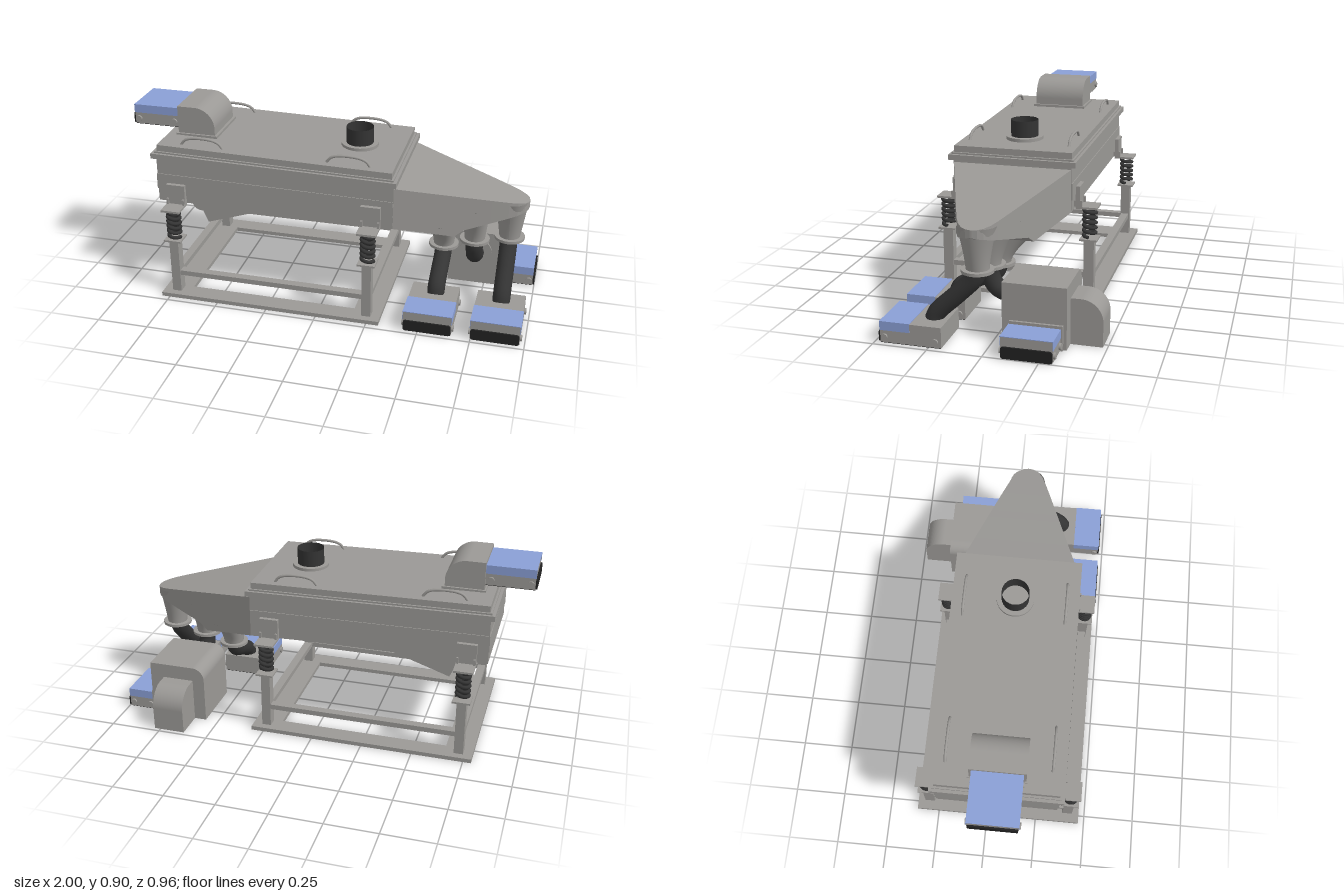
import * as THREE from 'three';

const mat = (name, color) => Object.assign(new THREE.MeshStandardMaterial({ color, side: THREE.DoubleSide }), { name });

export function createModel() {
  const steel = mat('steel grey', 0x9b9996);
  const rubber = mat('dark rubber', 0x343434);
  const black = mat('black', 0x222222);
  const blue = mat('blue cover', 0x8a9fd6);
  const root = new THREE.Group();
  root.name = 'vibratingScreen';

  const add = (parent, name, geo, m = steel, x = 0, y = 0, z = 0) => {
    const mesh = new THREE.Mesh(geo, m);
    mesh.name = name;
    mesh.position.set(x, y, z);
    parent.add(mesh);
    return mesh;
  };
  // Box given by its limits on each axis
  const box = (parent, name, x0, x1, y0, y1, z0, z1, m = steel) =>
    add(parent, name, new THREE.BoxGeometry(x1 - x0, y1 - y0, z1 - z0), m, (x0 + x1) / 2, (y0 + y1) / 2, (z0 + z1) / 2);
  const cyl = (parent, name, r, h, x, y, z, m = steel, open = false) =>
    add(parent, name, new THREE.CylinderGeometry(r, r, h, 32, 1, open), m, x, y, z);
  const tube = (parent, name, pts, r, m, seg = 40, sides = 16) =>
    add(parent, name, new THREE.TubeGeometry(
      new THREE.CatmullRomCurve3(pts.map(p => new THREE.Vector3(...p))), seg, r, sides), m);
  const group = (parent, name, x = 0, y = 0, z = 0) => {
    const g = new THREE.Group();
    g.name = name;
    g.position.set(x, y, z);
    parent.add(g);
    return g;
  };
  // Housing with one rounded upper edge on its +x side, centred on z
  const hood = (parent, name, w, h, d, r, x, y, z) => {
    const s = new THREE.Shape();
    s.moveTo(0, 0);
    s.lineTo(w, 0);
    s.absarc(w - r, h - r, r, 0, Math.PI / 2);
    s.lineTo(0, h);
    const g = new THREE.ExtrudeGeometry(s, { depth: d, bevelEnabled: false, curveSegments: 16 });
    g.translate(0, 0, -d / 2);
    return add(parent, name, g, steel, x, y, z);
  };

  // Everything on the machine's own centre line
  const machine = group(root, 'machine', 0, 0, 0.055);

  // Base frame
  const frame = group(machine, 'baseFrame');
  for (const s of [-1, 1]) {
    const side = (a, b) => [Math.min(s * a, s * b), Math.max(s * a, s * b)];
    box(frame, 'basePlateLong', -0.79, 0.31, 0, 0.02, ...side(0.325, 0.415));
    box(frame, 'sideRail', -0.70, 0.22, 0.11, 0.135, ...side(0.335, 0.375));
  }
  for (const x of [-0.7225, 0.2425]) {
    box(frame, 'basePlateShort', x - 0.0675, x + 0.0675, 0, 0.02, -0.325, 0.325);
    box(frame, 'endRail', x - 0.02, x + 0.02, 0.11, 0.135, -0.33, 0.33);
    for (const s of [-1, 1]) {
      const z = s * 0.355;
      box(frame, 'post', x - 0.0225, x + 0.0225, 0.02, 0.3, z - 0.025, z + 0.025);
      // Spring mount with coil, plates and hull bracket
      const mount = group(frame, 'springMount', x, 0, z);
      box(mount, 'lowerPlate', -0.043, 0.043, 0.3, 0.309, -0.043, 0.043);
      box(mount, 'upperPlate', -0.047, 0.047, 0.461, 0.471, s > 0 ? -0.06 : -0.043, s > 0 ? 0.043 : 0.06);
      const pts = [];
      for (let i = 0; i <= 88; i++) {
        const a = i / 16 * Math.PI * 2;
        pts.push([0.029 * Math.cos(a), 0.316 + 0.138 * i / 88, 0.029 * Math.sin(a)]);
      }
      tube(mount, 'coilSpring', pts, 0.009, rubber, 140, 8);
      const inner = -s * 0.05;
      box(mount, 'bracketPlate', -0.047, 0.047, 0.471, 0.57, inner - 0.01, inner + 0.01);
      for (const gx of [-0.04, 0.04])
        box(mount, 'bracketGusset', gx - 0.005, gx + 0.005, 0.471, 0.5, inner - 0.02, inner + 0.02);
    }
  }

  // Screen trough
  const hull = group(machine, 'trough');
  const profile = new THREE.Shape([[-0.82, 0.47], [0.1, 0.466], [0.345, 0.458], [0.345, 0.685], [-0.82, 0.7]]
    .map(p => new THREE.Vector2(...p)));
  add(hull, 'troughBody', new THREE.ExtrudeGeometry(profile, { depth: 0.574, bevelEnabled: false }), steel, 0, 0, -0.287);
  const ribs = box(hull, 'troughRibs', -0.823, 0.343, 0.525, 0.605, -0.291, 0.291);
  ribs.rotation.z = -0.014;

  // Discharge nose: stations of x, half width, top and bottom
  const stations = [[0.34, 0.287, 0.665, 0.458], [0.48, 0.235, 0.637, 0.43], [0.62, 0.183, 0.61, 0.4],
    [0.66, 0.168, 0.602, 0.43], [0.78, 0.123, 0.579, 0.46], [0.86, 0.092, 0.563, 0.48], [0.9, 0.073, 0.555, 0.49],
    [0.93, 0.05, 0.549, 0.5], [0.945, 0.027, 0.546, 0.505], [0.95, 0.004, 0.545, 0.51]];
  const pos = [];
  const quad = (a, b, c, d) => pos.push(...a, ...b, ...c, ...a, ...c, ...d);
  const ring = ([x, w, t, b]) => [[x, b, -w], [x, b, w], [x, t, w], [x, t, -w]];
  for (let i = 0; i < stations.length - 1; i++) {
    const p = ring(stations[i]), q = ring(stations[i + 1]);
    for (let k = 0; k < 4; k++) quad(p[k], q[k], q[(k + 1) % 4], p[(k + 1) % 4]);
  }
  quad(...ring(stations[stations.length - 1]).reverse());
  const noseGeo = new THREE.BufferGeometry();
  noseGeo.setAttribute('position', new THREE.Float32BufferAttribute(pos, 3));
  noseGeo.computeVertexNormals();
  add(hull, 'dischargeNose', noseGeo);

  // Outlet funnels, flared across the nose: x, top y, bottom y, half length and half width at the top
  const funnels = [[0.55, 0.45, 0.262, 0.074, 0.21], [0.7, 0.52, 0.305, 0.073, 0.152], [0.867, 0.545, 0.34, 0.08, 0.09]];
  for (const [x, top, bottom, a, b] of funnels) {
    const g = new THREE.CylinderGeometry(1, 1, top - bottom, 40, 12, true);
    const p = g.attributes.position;
    for (let i = 0; i < p.count; i++) {
      const t = THREE.MathUtils.clamp(p.getY(i) / (top - bottom) + 0.5, 0, 1);
      p.setX(i, p.getX(i) * (0.049 + (a - 0.049) * t));
      p.setZ(i, p.getZ(i) * (0.052 + (b - 0.052) * t * Math.sqrt(t)));
    }
    g.computeVertexNormals();
    add(hull, 'outletFunnel', g, steel, x, (top + bottom) / 2, 0);
    cyl(hull, 'outletFlange', 0.073, 0.014, x, bottom, 0);
  }

  // Hoses
  for (const [x, y] of [[0.55, 0.255], [0.865, 0.335]])
    tube(root, 'outletHose', [[x, y, 0.055], [x, y - 0.04, 0.075], [x, (y + 0.1) / 2, 0.15], [x, 0.125, 0.245], [x, 0.09, 0.262]], 0.042, rubber);
  tube(root, 'fanHose', [[0.7, 0.305, 0.055], [0.7, 0.26, 0.053], [0.7, 0.205, 0.025], [0.7, 0.183, -0.015], [0.7, 0.18, -0.05]], 0.042, rubber);

  // Lid, sloping slightly towards the nose
  const lid = group(machine, 'lid', -0.24, 0.7, 0);
  lid.rotation.z = -0.018;
  box(lid, 'lidFlange', -0.6, 0.6, -0.013, 0.013, -0.309, 0.309);
  box(lid, 'lidUpperRim', -0.585, 0.585, 0.013, 0.021, -0.296, 0.296);
  box(lid, 'lidCover', -0.575, 0.575, 0.013, 0.052, -0.287, 0.287);
  for (const x of [-0.36, 0.36]) for (const s of [-1, 1]) {
    const z = s * 0.245;
    tube(lid, 'handle', [[x - 0.105, 0.05, z], [x - 0.085, 0.075, z], [x - 0.05, 0.088, z], [x + 0.05, 0.088, z], [x + 0.085, 0.075, z], [x + 0.105, 0.05, z]], 0.0065, steel, 32, 10);
  }

  // Vent stack on the lid
  cyl(machine, 'ventFlange', 0.09, 0.016, 0.12, 0.752, 0);
  cyl(machine, 'ventPipe', 0.066, 0.085, 0.12, 0.797, 0, rubber, true);
  cyl(machine, 'ventFloor', 0.064, 0.005, 0.12, 0.764, 0);

  // Feed hood on the lid
  box(machine, 'feedHoodFlange', -0.77, -0.562, 0.755, 0.77, -0.14, 0.14);
  hood(machine, 'feedHood', 0.187, 0.14, 0.26, 0.1, -0.762, 0.765, 0);

  // Vibration drive tray under the trough
  const tray = new THREE.Shape([[-0.7, 0.475], [-0.625, 0.305], [-0.25, 0.43], [-0.25, 0.475]].map(p => new THREE.Vector2(...p)));
  add(machine, 'driveTray', new THREE.ExtrudeGeometry(tray, { depth: 0.31, bevelEnabled: false }), steel, 0, 0, -0.155);
  for (const s of [-1, 1])
    cyl(machine, 'driveMotor', 0.048, 0.12, -0.665, 0.405, s * 0.08).rotation.x = Math.PI / 2;

  // Fan housing behind the nose, with rear outlet hood
  const fan = group(root, 'fan');
  hood(fan, 'fanHousing', 0.285, 0.286, 0.29, 0.06, 0.85, 0, -0.19).rotation.y = Math.PI;
  hood(fan, 'fanRearHood', 0.155, 0.215, 0.155, 0.1, 0.7025, 0, -0.325).rotation.y = Math.PI / 2;
  cyl(fan, 'fanInletFlange', 0.08, 0.012, 0.7, 0.18, -0.04).rotation.x = Math.PI / 2;
  box(fan, 'fanOutletCollar', 0.85, 0.862, 0, 0.115, -0.32, -0.08);

  // Boxes with a blue cover and a dark lip at the outer end, pointing along local +z
  const collector = (x, y, z, turn, w, len, cover) => {
    const g = group(root, 'collectorBox', x, y, z);
    g.rotation.y = turn;
    const h = w / 2;
    box(g, 'collectorBody', -h, h, 0.004, 0.099, 0, len - 0.008);
    box(g, 'collectorBottom', -h + 0.004, h - 0.004, 0, 0.004, 0.004, len - 0.008, black);
    box(g, 'coverTop', -h, h, 0.099, 0.102, len - cover, len - 0.006, blue);
    for (const s of [-1, 1]) {
      const c = s * (h + 0.001);
      box(g, 'coverSide', c - 0.001, c + 0.001, 0.06, 0.102, len - cover, len - 0.006, blue);
      for (const bz of [0.028, len - 0.028])
        cyl(g, 'sideBolt', 0.015, 0.012, s * (h + 0.003), 0.03, bz).rotation.z = Math.PI / 2;
    }
    // Lip outline with rounded corners
    const a = h - 0.002, r = 0.012;
    const lip = new THREE.Shape();
    lip.absarc(a - r, 0.002 + r, r, -Math.PI / 2, 0);
    lip.absarc(a - r, 0.056 - r, r, 0, Math.PI / 2);
    lip.absarc(-a + r, 0.056 - r, r, Math.PI / 2, Math.PI);
    lip.absarc(-a + r, 0.002 + r, r, Math.PI, Math.PI * 1.5);
    add(g, 'darkLip', new THREE.ExtrudeGeometry(lip, { depth: 0.012, bevelEnabled: false, curveSegments: 6 }), black, 0, 0, len - 0.012);
  };
  collector(0.544, 0, 0.19, 0, 0.23, 0.29, 0.145);
  collector(0.862, 0, 0.19, 0, 0.23, 0.29, 0.145);
  collector(0.85, 0, -0.195, Math.PI / 2, 0.23, 0.15, 0.145);
  collector(-0.76, 0.788, 0.055, -Math.PI / 2, 0.23, 0.24, 0.24);

  return root;
}
